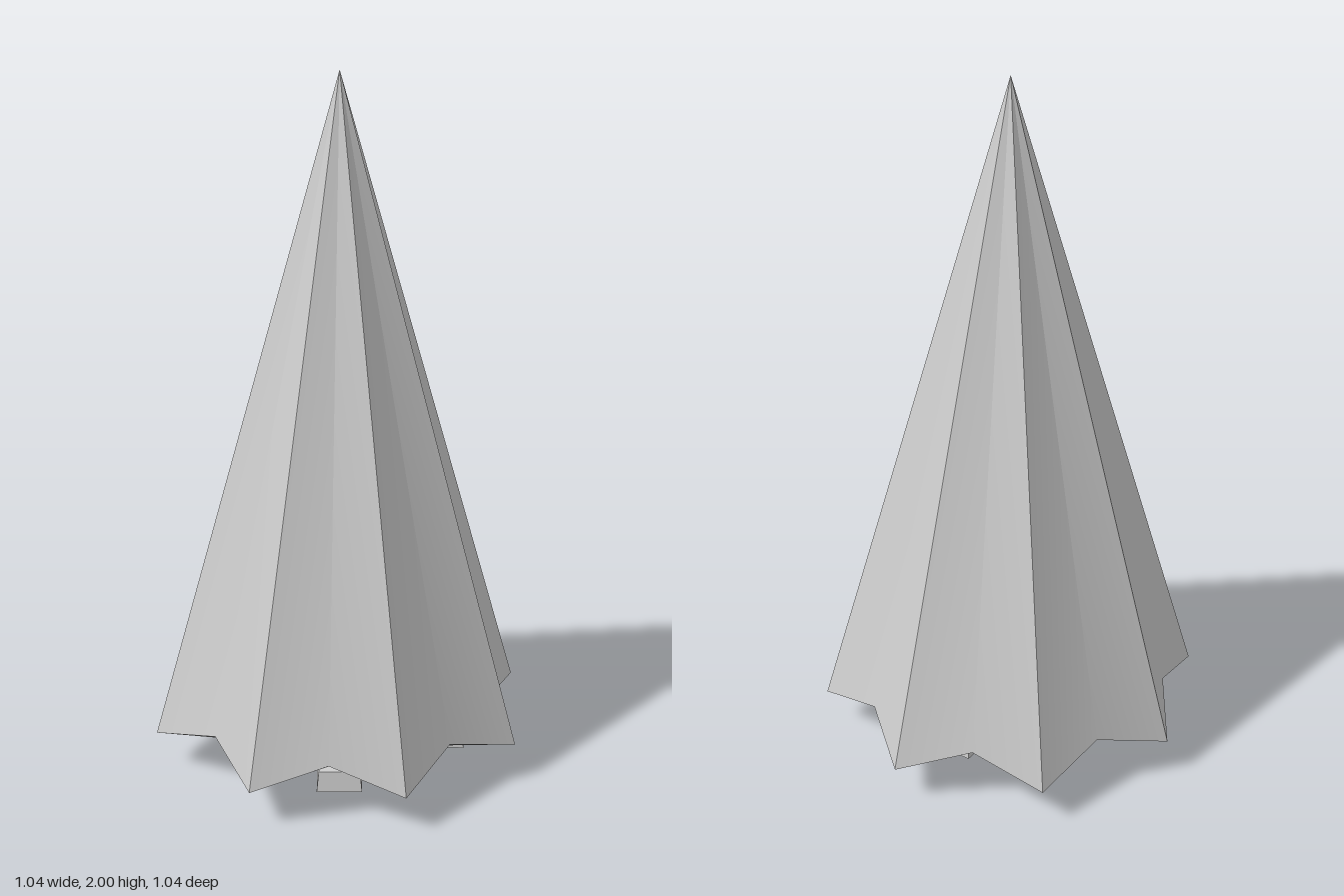
import * as THREE from 'three';
import { toCreasedNormals } from 'three/addons/utils/BufferGeometryUtils.js';

const SIDES = 16; // alternating notch and point

// Star-shaped ring: even steps are notches, odd steps are points
function starRing(notchR, notchY, pointR, pointY) {
  return Array.from({ length: SIDES }, (_, i) => {
    const a = (i * Math.PI * 2) / SIDES;
    const r = i % 2 ? pointR : notchR;
    return [r * Math.sin(a), i % 2 ? pointY : notchY, r * Math.cos(a)];
  });
}

// Skin consecutive rings from top to bottom, outside facing out
function skin(rings) {
  const pos = [];
  for (let k = 0; k < rings.length - 1; k++) {
    const A = rings[k], B = rings[k + 1];
    for (let i = 0; i < SIDES; i++) {
      const j = (i + 1) % SIDES;
      pos.push(...A[i], ...B[i], ...B[j]);
      if (k > 0) pos.push(...A[i], ...B[j], ...A[j]); // first ring is the apex
    }
  }
  const g = new THREE.BufferGeometry();
  g.setAttribute('position', new THREE.Float32BufferAttribute(pos, 3));
  return toCreasedNormals(g, Math.PI / 6);
}

// Chunky root: side profile extruded across its width, narrowing to the tip
function rootGeometry(length, tipHeight, width) {
  const s = new THREE.Shape([
    [0, 0], [length, 0], [length - 0.01, tipHeight], [length - 0.09, tipHeight + 0.01],
    [0.17, 0.13], [0.1, 0.19], [0, 0.19],
  ].map(([x, y]) => new THREE.Vector2(x, y)));
  const g = new THREE.ExtrudeGeometry(s, { depth: width, bevelEnabled: false });
  g.translate(0, 0, -width / 2);
  const p = g.attributes.position;
  for (let i = 0; i < p.count; i++) {
    const taper = 1 - 0.3 * (p.getY(i) / 0.19);
    p.setZ(i, p.getZ(i) * taper);
  }
  g.computeVertexNormals();
  return g;
}

export function createModel() {
  const model = new THREE.Group();
  model.name = 'tree';
  const smooth = new THREE.MeshStandardMaterial({ color: 0xcccccc });
  const flat = new THREE.MeshStandardMaterial({ color: 0xcccccc, flatShading: true });

  // Foliage: pleated cone, thin rim, shallow hollow underside
  const foliage = new THREE.Mesh(skin([
    starRing(0, 2, 0, 2),
    starRing(0.47, 0.172, 0.563, 0.11),
    starRing(0.45, 0.16, 0.52, 0.098),
    starRing(0.1, 0.26, 0.1, 0.26),
  ]), smooth);
  foliage.name = 'foliage';
  model.add(foliage);

  // Trunk
  const trunk = new THREE.Mesh(new THREE.CylinderGeometry(0.115, 0.13, 0.3, 8), flat);
  trunk.name = 'trunk';
  trunk.position.y = 0.15;
  trunk.rotation.y = Math.PI / 8;
  model.add(trunk);

  // Roots: tip x, tip z, tip height, width
  const roots = [
    [0.375, 0.0, 0.075, 0.12],
    [0.11, -0.275, 0.06, 0.11],
    [0.02, 0.325, 0.06, 0.13],
    [-0.29, 0.08, 0.055, 0.12],
  ];
  roots.forEach(([x, z, h, w], i) => {
    const root = new THREE.Mesh(rootGeometry(Math.hypot(x, z), h, w), flat);
    root.name = `root${i + 1}`;
    root.rotation.y = Math.atan2(-z, x);
    model.add(root);
  });
  return model;
}
